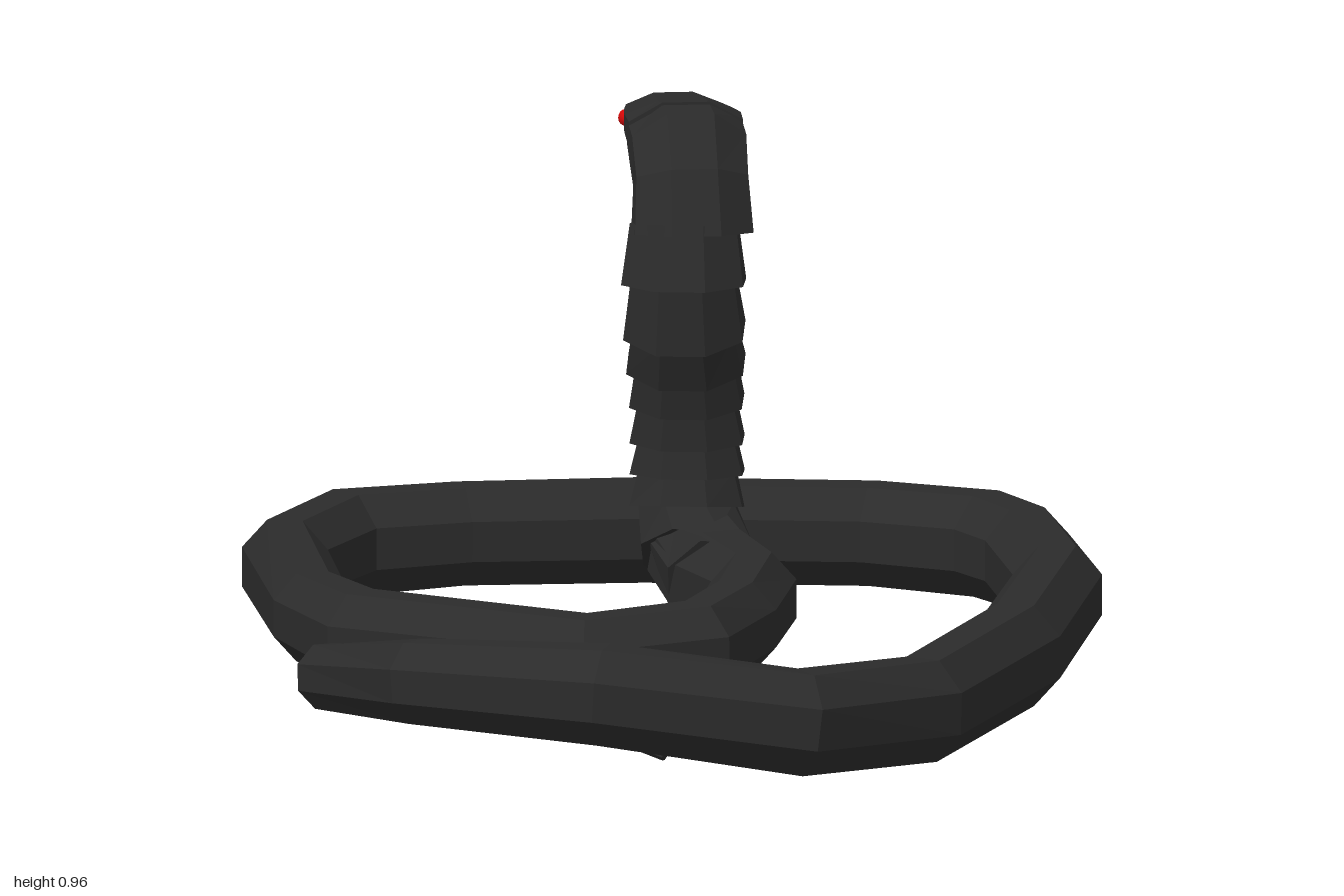
import * as THREE from 'three';

const V = (x, y, z) => new THREE.Vector3(x, y, z);
const UP = V(0, 1, 0), SIDE = V(1, 0, 0);

const scaleMat = new THREE.MeshStandardMaterial({ color: 0x2b2b2b });
scaleMat.name = 'charcoal scales';
const redMat = new THREE.MeshStandardMaterial({ color: 0xd40808 });
redMat.name = 'bright red';
const mouthMat = new THREE.MeshStandardMaterial({ color: 0x7a0c0c });
mouthMat.name = 'dark red mouth';
const toothMat = new THREE.MeshStandardMaterial({ color: 0xe6e0d2 });
toothMat.name = 'ivory teeth';

// Faceted octagonal ring: centre, tangent, side axis, side and upward radii
function ring(c, t, side, rs, ru, n = 8) {
  const u = new THREE.Vector3().crossVectors(side, t).normalize();
  const k = 1 / Math.cos(Math.PI / n);
  return Array.from({ length: n }, (_, i) => {
    const a = (i + 0.5) * 2 * Math.PI / n;
    return c.clone().addScaledVector(side, rs * k * Math.cos(a)).addScaledVector(u, ru * k * Math.sin(a));
  });
}

// Closed flat-shaded skin through a list of rings
function loft(rings) {
  const n = rings[0].length, pos = [];
  const tri = (...ps) => ps.forEach(p => pos.push(p.x, p.y, p.z));
  for (let i = 0; i < rings.length - 1; i++) {
    for (let j = 0; j < n; j++) {
      const k = (j + 1) % n, a = rings[i], b = rings[i + 1];
      tri(a[j], b[j], a[k]);
      tri(a[k], b[j], b[k]);
    }
  }
  const first = rings[0], last = rings[rings.length - 1];
  for (let j = 1; j < n - 1; j++) {
    tri(first[0], first[j], first[j + 1]);
    tri(last[0], last[j + 1], last[j]);
  }
  const g = new THREE.BufferGeometry();
  g.setAttribute('position', new THREE.Float32BufferAttribute(pos, 3));
  g.computeVertexNormals();
  return g;
}

function add(parent, name, geo, mat) {
  const m = new THREE.Mesh(geo, mat);
  m.name = name;
  parent.add(m);
  return m;
}

// Direction of a path at point i, bisecting its two neighbours
function tangent(pts, i) {
  const t = V(0, 0, 0);
  if (i > 0) t.add(pts[i].clone().sub(pts[i - 1]).normalize());
  if (i < pts.length - 1) t.add(pts[i + 1].clone().sub(pts[i]).normalize());
  return t.normalize();
}

// Coiled body from the foot of the neck to the tail tip: x, y, z, radius
const BODY = [
  [0.03, 0.19, -0.55, 0.08], [0.08, 0.15, -0.46, 0.085], [0.155, 0.15, -0.31, 0.075], [0.14, 0.15, -0.08, 0.072],
  [0.09, 0.15, 0.125, 0.075], [-0.10, 0.14, 0.205, 0.075], [-0.51, 0.14, 0.035, 0.078], [-0.605, 0.145, -0.14, 0.07],
  [-0.68, 0.15, -0.52, 0.076], [-0.59, 0.15, -0.745, 0.08], [-0.395, 0.15, -0.835, 0.077], [-0.08, 0.145, -0.912, 0.078],
  [0.32, 0.145, -0.912, 0.078], [0.525, 0.15, -0.815, 0.08], [0.605, 0.15, -0.70, 0.078], [0.68, 0.15, -0.39, 0.078],
  [0.642, 0.145, 0.1, 0.08], [0.515, 0.155, 0.62, 0.08], [0.32, 0.18, 0.865, 0.08], [-0.02, 0.235, 0.915, 0.076],
  [-0.36, 0.215, 0.73, 0.064], [-0.535, 0.175, 0.51, 0.05], [-0.52, 0.155, 0.355, 0.04], [-0.355, 0.135, 0.262, 0.03],
  [-0.2, 0.105, 0.272, 0.024], [0.05, 0.018, 0.383, 0.01]];

// Neck stations: x, y, z, side radius, depth radius
const NECK = [
  [0.09, 0.15, -0.44, 0.085, 0.085], [0.04, 0.19, -0.535, 0.085, 0.08], [0.02, 0.27, -0.56, 0.085, 0.066],
  [0.02, 0.33, -0.565, 0.085, 0.066], [0.02, 0.39, -0.562, 0.085, 0.066], [0.02, 0.46, -0.552, 0.085, 0.07],
  [0.02, 0.53, -0.53, 0.088, 0.074], [0.02, 0.60, -0.495, 0.09, 0.082], [0.02, 0.69, -0.482, 0.092, 0.08],
  [0.02, 0.78, -0.495, 0.095, 0.075]];

// Ring across the head from its bottom and top heights
const headRing = ([z, lo, hi, w]) => ring(V(0, (lo + hi) / 2, z), V(0, 0, -1), SIDE, w, (hi - lo) / 2);

function buildHead() {
  const head = new THREE.Group();
  head.name = 'head';
  head.position.set(0.025, 0, -0.55);
  head.rotation.y = 0.17;

  // Back of the head bending forward out of the neck
  add(head, 'hood', loft([
    ring(V(0, 0.765, 0.055), V(0, 1, -0.1), SIDE, 0.104, 0.082),
    ring(V(0, 0.85, 0.025), V(0, 0.9, -0.45), SIDE, 0.098, 0.077),
    ring(V(0, 0.895, -0.02), V(0, 0.5, -0.85), SIDE, 0.1, 0.085),
    headRing([-0.09, 0.86, 0.967, 0.1])]), scaleMat);
  add(head, 'upperJaw', loft([
    [-0.06, 0.86, 0.972, 0.1], [-0.12, 0.885, 0.963, 0.102], [-0.2, 0.88, 0.953, 0.095],
    [-0.285, 0.875, 0.943, 0.083], [-0.338, 0.865, 0.905, 0.04]].map(headRing)), scaleMat);
  add(head, 'lowerJaw', loft([
    [-0.01, 0.79, 0.89, 0.085], [-0.09, 0.785, 0.86, 0.08],
    [-0.18, 0.75, 0.80, 0.062], [-0.235, 0.733, 0.758, 0.032]].map(headRing)), scaleMat);

  // Mouth lining on palate and jaw
  add(head, 'palate', loft([[-0.1, 0.874, 0.882, 0.07], [-0.29, 0.868, 0.876, 0.05]].map(headRing)), mouthMat);
  add(head, 'jawLining', loft([[-0.09, 0.858, 0.866, 0.055], [-0.18, 0.799, 0.806, 0.045],
    [-0.225, 0.762, 0.769, 0.022]].map(headRing)), mouthMat);

  for (const s of [-1, 1]) {
    // Eye and brow
    const eye = add(head, s > 0 ? 'leftEye' : 'rightEye', new THREE.SphereGeometry(0.018, 10, 8), redMat);
    eye.position.set(s * 0.09, 0.912, -0.225);
    eye.scale.set(0.7, 0.8, 1.1);
    const nostril = add(head, 'nostril', new THREE.SphereGeometry(0.006, 6, 4), mouthMat);
    nostril.position.set(s * 0.05, 0.902, -0.322);
    // Curved fang
    add(head, 'fang', loft([
      ring(V(s * 0.04, 0.88, -0.31), V(0, -1, -0.1), SIDE, 0.009, 0.009, 5),
      ring(V(s * 0.04, 0.85, -0.318), V(0, -1, 0.1), SIDE, 0.006, 0.006, 5),
      ring(V(s * 0.04, 0.822, -0.308), V(0, -1, 0.5), SIDE, 0.001, 0.001, 5)]), scaleMat);
    // Row of small lower teeth
    for (let i = 0; i < 5; i++) {
      const f = i / 4;
      const tooth = add(head, 'tooth', new THREE.ConeGeometry(0.005, 0.02, 5), toothMat);
      tooth.position.set(s * (0.055 - 0.033 * f), 0.845 - 0.073 * f, -0.125 - 0.1 * f);
    }
    // Fork of the tongue
    const fork = new THREE.CatmullRomCurve3([V(0, 0.755, -0.26), V(s * 0.012, 0.738, -0.28), V(s * 0.03, 0.712, -0.298)]);
    add(head, 'tongueFork', new THREE.TubeGeometry(fork, 4, 0.005, 5), redMat);
  }
  const tongue = new THREE.CatmullRomCurve3([V(0, 0.86, -0.09), V(0, 0.815, -0.18), V(0, 0.775, -0.235), V(0, 0.753, -0.264)]);
  add(head, 'tongue', new THREE.TubeGeometry(tongue, 8, 0.009, 6), redMat);
  return head;
}

export function createModel() {
  const model = new THREE.Group();
  model.name = 'snake';

  const path = BODY.map(([x, y, z]) => V(x, y, z));
  add(model, 'body', loft(path.map((p, i) => {
    const t = tangent(path, i);
    const side = new THREE.Vector3().crossVectors(t, UP).normalize();
    return ring(p, t, side, BODY[i][3], BODY[i][3] * 1.12);
  })), scaleMat);

  // Overlapping neck bands, each flaring over the one below
  const neck = new THREE.Group();
  neck.name = 'neck';
  model.add(neck);
  const np = NECK.map(([x, y, z]) => V(x, y, z));
  for (let i = 0; i < np.length - 1; i++) {
    const [a, b] = [NECK[i], NECK[i + 1]];
    const low = np[i].clone().lerp(np[i + 1], -0.12);
    add(neck, 'neckBand', loft([
      ring(low, tangent(np, i), SIDE, a[3] * 1.16, a[4] * 1.16),
      ring(np[i + 1], tangent(np, i + 1), SIDE, b[3] * 0.98, b[4] * 0.98)]), scaleMat);
  }

  model.add(buildHead());
  return model;
}
